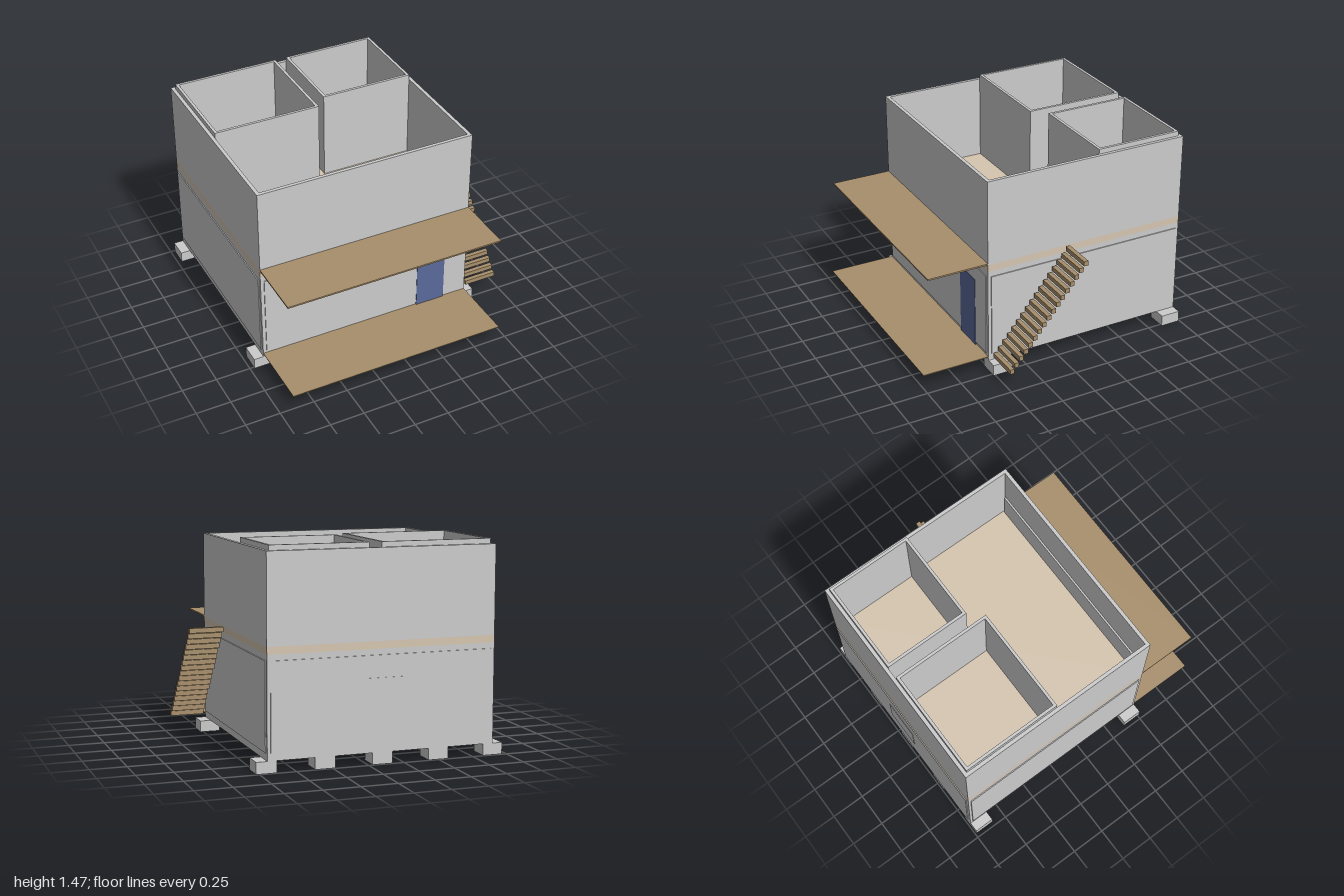
import * as THREE from 'three';

const mat = (color) => new THREE.MeshStandardMaterial({ color });

export function createModel() {
  const model = new THREE.Group();
  const grey = mat(0xcccccc);
  const wood = mat(0xa88f6c);
  const floor = mat(0xd6c6b0);
  const blue = mat(0x5a6a9a);

  // Box given by its minimum and maximum on each axis
  function box(name, material, [x0, x1], [y0, y1], [z0, z1]) {
    const mesh = new THREE.Mesh(new THREE.BoxGeometry(x1 - x0, y1 - y0, z1 - z0), material);
    mesh.position.set((x0 + x1) / 2, (y0 + y1) / 2, (z0 + z1) / 2);
    mesh.name = name;
    model.add(mesh);
  }

  // Open rectangular ring of walls, extruded upwards
  function walls(name, [x0, x1], [y0, y1], [z0, z1], t) {
    const rect = (Type, a, b, c, d) => {
      const p = new Type();
      p.moveTo(a, -d).lineTo(b, -d).lineTo(b, -c).lineTo(a, -c).closePath();
      return p;
    };
    const shape = rect(THREE.Shape, x0, x1, z0, z1);
    shape.holes.push(rect(THREE.Path, x0 + t, x1 - t, z0 + t, z1 - t));
    const geometry = new THREE.ExtrudeGeometry(shape, { depth: y1 - y0, bevelEnabled: false });
    geometry.rotateX(-Math.PI / 2);
    const mesh = new THREE.Mesh(geometry, grey);
    mesh.position.y = y0;
    mesh.name = name;
    model.add(mesh);
  }

  const X = [-0.9, 0.695];
  const Z = [-0.99, 0.513];

  // Two storeys with the floor slab showing between them
  box('baseSlab', grey, X, [0.08, 0.11], Z);
  walls('lowerWalls', X, [0.11, 0.77], Z, 0.025);
  box('upperFloor', floor, X, [0.77, 0.82], Z);
  walls('upperWalls', X, [0.82, 1.43], Z, 0.025);

  // Rooms on the upper floor, slightly taller than the outer walls
  walls('largeRoom', [-0.873, -0.095], [0.82, 1.465], [-0.964, -0.238], 0.02);
  walls('smallRoom', [-0.01, 0.672], [0.82, 1.465], [-0.964, -0.335], 0.02);
  box('innerFrontPanel', grey, [-0.865, 0.66], [0.82, 1.06], [0.475, 0.488]);

  // Thin cladding panels on the lower storey
  const panelY = [0.13, 0.73];
  box('rightCladding', grey, [-0.907, -0.9], panelY, [-0.97, 0.49]);
  box('leftCladding', grey, [0.695, 0.702], panelY, [-0.97, 0.49]);
  box('frontCladding', grey, [-0.875, 0.672], panelY, [0.513, 0.519]);
  box('backCladding', grey, [-0.875, 0.672], panelY, [-0.997, -0.99]);
  box('backHatch', grey, [-0.24, 0.04], [0.33, 0.58], [-1, -0.99]);
  box('door', blue, [0.295, 0.515], [0.11, 0.625], [0.513, 0.522]);

  // Front decks
  box('lowerDeck', wood, X, [0.104, 0.11], [0.513, 1]);
  box('upperDeck', wood, X, [0.821, 0.832], [0.513, 0.95]);

  // Two rows of foundation blocks
  for (let i = 0; i < 5; i++) {
    const x = -0.9 + i * 0.4;
    for (const z of [-0.99, 0.37]) {
      box('foundationBlock', grey, [x - 0.07, x + 0.07], [0, 0.08], [z, z + 0.143]);
    }
  }

  // Floating stair treads
  for (let i = 0; i < 17; i++) {
    const y = 0.115 + i * 0.0425;
    const z = 0.458 - i * 0.0345;
    box('stairTread', wood, [0.724, 0.965], [y, y + 0.034], [z, z + 0.032]);
  }

  return model;
}
